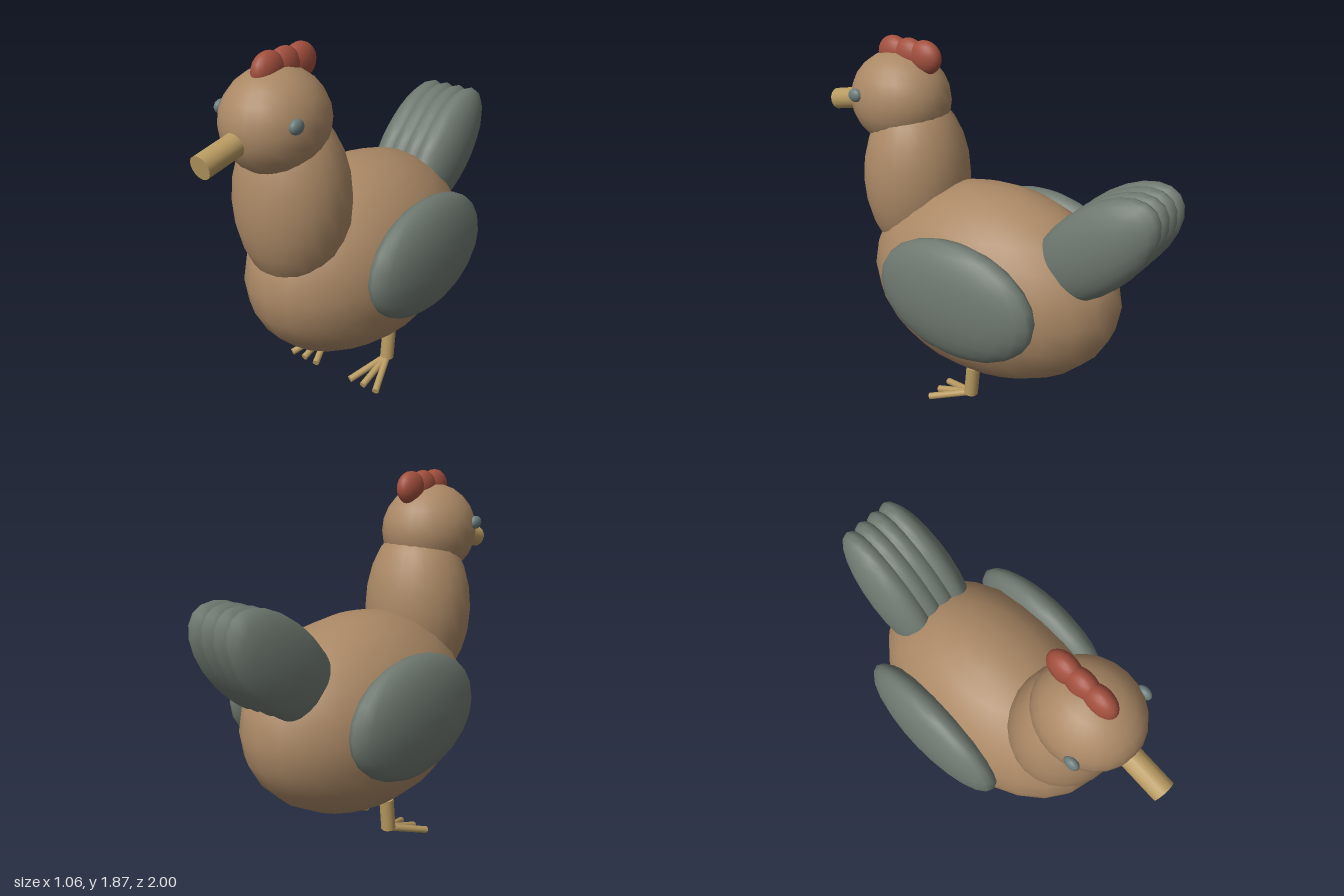
import * as THREE from 'three';

const material = (name, color) => {
  const m = new THREE.MeshStandardMaterial({ color });
  m.name = name;
  return m;
};

export function createModel() {
  const hen = new THREE.Group();
  hen.name = 'hen';

  const tan = material('tan plumage', 0xaa8865);
  const grey = material('grey feathers', 0x6e786f);
  const horn = material('horn yellow', 0xb89a61);
  const red = material('comb red', 0xa24f3d);
  const slate = material('slate eyes', 0x6b7b7b);

  const ball = new THREE.SphereGeometry(1, 24, 12);

  // Ellipsoid from its centre and half sizes, tilted about x
  function ellipsoid(name, mat, centre, half, tilt = 0) {
    const mesh = new THREE.Mesh(ball, mat);
    mesh.name = name;
    mesh.position.set(...centre);
    mesh.scale.set(...half);
    mesh.rotation.x = tilt;
    hen.add(mesh);
  }

  // Capped cylinder between two points
  function rod(name, mat, from, to, radius) {
    const a = new THREE.Vector3(...from);
    const b = new THREE.Vector3(...to);
    const axis = b.clone().sub(a);
    const mesh = new THREE.Mesh(new THREE.CylinderGeometry(radius, radius, axis.length(), 16), mat);
    mesh.name = name;
    mesh.position.copy(a).add(b).multiplyScalar(0.5);
    mesh.quaternion.setFromUnitVectors(new THREE.Vector3(0, 1, 0), axis.normalize());
    hen.add(mesh);
  }

  // Body, neck and head
  ellipsoid('body', tan, [0, 0.69, -0.05], [0.45, 0.51, 0.71]);
  ellipsoid('neck', tan, [0, 1.15, 0.44], [0.287, 0.45, 0.277]);
  ellipsoid('head', tan, [0, 1.555, 0.533], [0.24, 0.247, 0.27]);

  // Comb lobes
  for (const z of [0.567, 0.467, 0.367]) {
    ellipsoid('combLobe', red, [0, 1.785, z], [0.057, 0.085, 0.093]);
  }

  // Beak, sloping down to the front
  rod('beak', horn, [0, 1.538, 0.67], [0, 1.471, 0.987], 0.056);

  // Tail feathers, side by side
  for (const x of [-0.12, -0.04, 0.04, 0.12]) {
    ellipsoid('tailFeather', grey, [x, 1.07, -0.68], [0.115, 0.2, 0.4], THREE.MathUtils.degToRad(43));
  }

  for (const [side, s] of [['left', 1], ['right', -1]]) {
    ellipsoid(side + 'Wing', grey, [s * 0.4, 0.757, -0.1], [0.13, 0.305, 0.453]);
    ellipsoid(side + 'Eye', slate, [s * 0.222, 1.6, 0.643], [0.025, 0.034, 0.04]);

    // Leg with three toes
    rod(side + 'Leg', horn, [s * 0.205, 0.255, -0.067], [s * 0.205, 0.085, -0.05], 0.037);
    for (const spread of [-0.085, 0, 0.085]) {
      rod(side + 'Toe', horn, [s * 0.205, 0.09, -0.055], [s * 0.205 + spread, 0.018, 0.165], 0.018);
    }
  }

  return hen;
}
